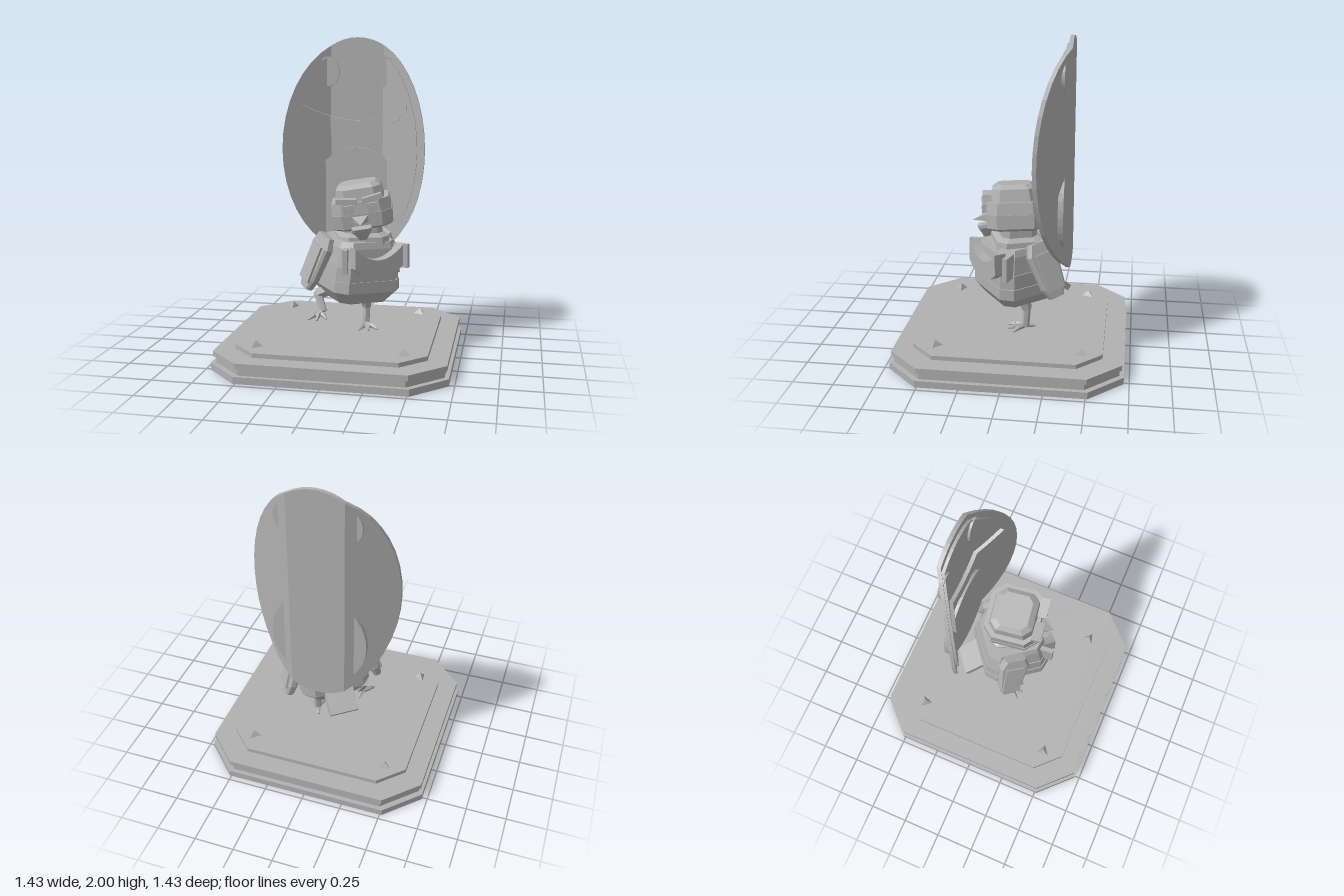
import * as THREE from 'three';

const stone = new THREE.MeshStandardMaterial({ color: 0xb0b0b0, flatShading: true });
stone.name = 'stone grey';

function add(parent, name, geo, pos = [0, 0, 0], rot = [0, 0, 0]) {
  const m = new THREE.Mesh(geo, stone);
  m.name = name;
  m.position.set(...pos);
  m.rotation.set(...rot);
  parent.add(m);
  return m;
}
function group(parent, name, pos = [0, 0, 0], rot = [0, 0, 0]) {
  const g = new THREE.Group();
  g.name = name;
  g.position.set(...pos);
  g.rotation.set(...rot);
  parent.add(g);
  return g;
}
const box = (x, y, z) => new THREE.BoxGeometry(x, y, z);

// Stacked chamfered squares; each ring is [y, half width, half depth, chamfer]
function loft(rings) {
  const v = [];
  const pts = rings.map(([y, a, b, c]) => [
    [a, b - c], [a, c - b], [a - c, -b], [c - a, -b], [-a, c - b], [-a, b - c], [c - a, b], [a - c, b],
  ].map(([x, z]) => [x, y, z]));
  for (let r = 0; r < pts.length - 1; r++) {
    for (let i = 0; i < 8; i++) {
      const j = (i + 1) % 8, a = pts[r][i], b = pts[r][j], c = pts[r + 1][j], d = pts[r + 1][i];
      v.push(...a, ...b, ...c, ...a, ...c, ...d);
    }
  }
  const lo = pts[0], hi = pts[pts.length - 1];
  for (let i = 1; i < 7; i++) v.push(...lo[0], ...lo[i + 1], ...lo[i], ...hi[0], ...hi[i], ...hi[i + 1]);
  const g = new THREE.BufferGeometry();
  g.setAttribute('position', new THREE.Float32BufferAttribute(v, 3));
  g.computeVertexNormals();
  return g;
}

// Bar between two points
function bar(parent, name, a, b, r0, r1, sides = 6) {
  const p = new THREE.Vector3(...a), q = new THREE.Vector3(...b);
  const m = add(parent, name, new THREE.CylinderGeometry(r1, r0, p.distanceTo(q), sides));
  m.position.copy(p).add(q).multiplyScalar(0.5);
  m.quaternion.setFromUnitVectors(new THREE.Vector3(0, 1, 0), q.sub(p).normalize());
}

// Plate between two curves; a folded plate bends forward beyond the two creases
const MID = 0.025, CREASE = 0.172, SLOPE = 0.6;
function plate(parent, name, cx, rx, top, bottom, z0, z1, folded) {
  const cuts = [cx - rx, cx + rx];
  if (folded) cuts.splice(1, 0, MID - CREASE, MID + CREASE);
  for (let s = 0; s < cuts.length - 1; s++) {
    const angle = (x) => Math.acos(Math.max(-1, Math.min(1, (cx - x) / rx)));
    const a0 = angle(cuts[s]), a1 = angle(cuts[s + 1]), n = folded ? 8 : 20;
    const up = [], down = [];
    for (let i = 0; i <= n; i++) {
      const u = -Math.cos(a0 + (a1 - a0) * i / n);
      const t = top(u), b = bottom(u);
      down.push(new THREE.Vector2(cx + rx * u, b));
      if (t - b > 1e-4) up.unshift(new THREE.Vector2(cx + rx * u, t));
    }
    const g = new THREE.ExtrudeGeometry(new THREE.Shape([...down, ...up]), { depth: z1 - z0, bevelEnabled: false });
    g.translate(0, 0, z0);
    if (folded) {
      const p = g.attributes.position;
      for (let i = 0; i < p.count; i++) {
        p.setZ(i, p.getZ(i) + SLOPE * Math.max(0, Math.abs(p.getX(i) - MID) - CREASE));
      }
      g.computeVertexNormals();
    }
    add(parent, name, g);
  }
}
function oval(parent, name, cx, cy, rx, ry, z0, z1, folded) {
  const h = (u) => ry * Math.sqrt(Math.max(0, 1 - u * u));
  plate(parent, name, cx, rx, (u) => cy + h(u), (u) => cy - h(u), z0, z1, folded);
}

// Three splayed front toes and one back toe
function foot(parent, name, pos, rot) {
  const f = group(parent, name, pos, rot);
  for (const a of [-0.6, 0, 0.6]) {
    const s = Math.sin(a), c = Math.cos(a);
    bar(f, 'toe', [0, 0.02, 0], [s * 0.06, 0.017, c * 0.06], 0.018, 0.016, 5);
    bar(f, 'claw', [s * 0.055, 0.02, c * 0.055], [s * 0.105, 0.006, c * 0.105], 0.017, 0.006, 5);
  }
  bar(f, 'back toe', [0, 0.02, 0], [0, 0.008, -0.075], 0.018, 0.008, 5);
}

export function createModel() {
  const model = new THREE.Group();
  model.name = 'bird statue';

  // Stepped plinth with corner spikes
  const plinth = group(model, 'plinth');
  add(plinth, 'bottom slab', loft([[0, 0.717, 0.717, 0.205], [0.042, 0.717, 0.717, 0.205]]));
  add(plinth, 'recess slab', loft([[0.042, 0.69, 0.69, 0.2], [0.085, 0.69, 0.69, 0.2]]));
  add(plinth, 'upper slab', loft([[0.085, 0.705, 0.705, 0.2], [0.118, 0.705, 0.705, 0.2]]));
  add(plinth, 'top step', loft([[0.118, 0.585, 0.585, 0.15], [0.145, 0.585, 0.585, 0.15]]));
  for (const [x, z, a] of [[-0.45, -0.45, 0.18], [0.44, -0.455, -1.39], [-0.45, 0.45, 1.66], [0.445, 0.44, -2.88]]) {
    add(plinth, 'spike', new THREE.ConeGeometry(0.047, 0.04, 3), [x, 0.163, z], [0, a, 0]);
  }

  // Folded oval screen with a face
  const screen = group(model, 'folding screen');
  oval(screen, 'back panel', MID, 1.28, 0.463, 0.72, -0.355, -0.33, true);
  oval(screen, 'front panel', MID, 1.28, 0.413, 0.672, -0.33, -0.312, true);
  oval(screen, 'belly disc', MID, 0.96, 0.3, 0.33, -0.325, -0.292, false);
  for (const s of [-1, 1]) oval(screen, 'screen eye', MID + s * 0.19, 1.78, 0.075, 0.096, -0.32, -0.298, false);
  plate(screen, 'smile', MID, 0.34, (u) => 1.465 + 0.105 * u * u, (u) => 1.37 + 0.155 * u * u, -0.312, -0.288, true);

  // Bird body, turned to its left
  const bird = group(model, 'bird', [0.08, 0, -0.02], [0, 0.66, 0]);
  const torso = group(bird, 'torso', [0, 0.55, 0], [0.04, 0, -0.05]);
  add(torso, 'belly', loft([[-0.19, 0.165, 0.165, 0.05], [-0.11, 0.228, 0.222, 0.065], [-0.04, 0.226, 0.22, 0.065]]));
  add(torso, 'chest', loft([[-0.04, 0.22, 0.215, 0.065], [0.05, 0.216, 0.212, 0.065], [0.05, 0.21, 0.205, 0.06],
    [0.16, 0.195, 0.19, 0.06], [0.2, 0.18, 0.175, 0.055]]));

  // Bib hanging on the chest
  const bib = group(bird, 'bib', [0.02, 0, 0]);
  plate(bib, 'bib pouch', 0, 0.165, (u) => 0.645 + 0.085 * u * u, (u) => 0.525 + 0.075 * u * u, 0.19, 0.265, false);
  for (const s of [-1, 1]) {
    add(bib, 'bib side', box(0.03, 0.15, 0.1), [s * 0.195, 0.645, 0.19], [0, s * 0.6, 0]);
  }

  // Hanging arm wings
  for (const s of [-1, 1]) {
    const wing = group(bird, s > 0 ? 'left wing' : 'right wing', [s * 0.25, 0.61, -0.06], [0.22, 0, s * 0.3]);
    add(wing, 'wing plate', loft([[-0.19, 0.025, 0.05, 0.012], [-0.12, 0.03, 0.08, 0.015],
      [0.1, 0.032, 0.1, 0.015], [0.17, 0.028, 0.07, 0.015]]));
    add(wing, 'wing feathers', box(0.03, 0.24, 0.12), [s * 0.03, -0.02, 0]);
  }
  add(bird, 'tail', box(0.19, 0.04, 0.22), [0, 0.43, -0.25], [-0.65, 0, 0]);

  // Standing leg and raised leg
  const legs = group(model, 'legs');
  bar(legs, 'standing thigh', [0.135, 0.28, -0.09], [0.13, 0.38, -0.06], 0.03, 0.05);
  bar(legs, 'standing shin', [0.13, 0.16, -0.08], [0.135, 0.29, -0.09], 0.024, 0.024);
  foot(legs, 'standing foot', [0.13, 0.147, -0.07], [0, 0.35, 0]);
  bar(legs, 'raised thigh', [-0.17, 0.37, 0.01], [-0.03, 0.44, 0.02], 0.035, 0.055);
  bar(legs, 'raised shin', [-0.12, 0.27, 0.06], [-0.17, 0.385, 0.01], 0.024, 0.028);
  foot(legs, 'raised foot', [-0.14, 0.245, 0.06], [0.1, 0, 0.1]);

  // Neck and tilted head
  add(model, 'neck', loft([[0.72, 0.16, 0.15, 0.05], [0.77, 0.155, 0.145, 0.05], [0.79, 0.12, 0.11, 0.04],
    [0.88, 0.12, 0.11, 0.04]]), [0.11, 0, -0.02], [0, 0.35, 0]);
  const head = group(model, 'head', [0.115, 0.93, -0.01], [0.03, 0.15, 0.15]);
  add(head, 'jaw band', loft([[-0.1, 0.165, 0.155, 0.06], [-0.085, 0.185, 0.175, 0.065], [0, 0.19, 0.18, 0.065]]));
  add(head, 'brow band', loft([[0, 0.186, 0.176, 0.065], [0.075, 0.18, 0.17, 0.065]]));
  add(head, 'crown', loft([[0.075, 0.15, 0.145, 0.05], [0.15, 0.14, 0.135, 0.05], [0.175, 0.11, 0.1, 0.035]]));
  for (const s of [-1, 1]) {
    add(head, 'eye', box(0.06, 0.055, 0.03), [s * 0.075, 0.035, 0.18]);
    add(head, 'pupil', box(0.022, 0.05, 0.012), [s * 0.065, 0.025, 0.197]);
    add(head, 'eyebrow', box(0.125, 0.032, 0.06), [s * 0.08, 0.09, 0.17], [0, 0, s * 0.15]);
  }

  // Open beak
  const beak = group(head, 'beak', [-0.01, -0.07, 0.17]);
  add(beak, 'upper beak', new THREE.ConeGeometry(0.065, 0.11, 4).rotateY(Math.PI / 4).rotateX(Math.PI / 2).scale(1.3, 0.6, 1),
    [0, 0.03, 0.04], [0.2, 0, 0]);
  add(beak, 'lower beak', loft([[-0.08, 0.022, 0.02, 0.006], [-0.02, 0.06, 0.04, 0.015], [0, 0.06, 0.045, 0.015]]),
    [0, -0.005, 0.02], [0.2, 0, 0]);

  return model;
}
